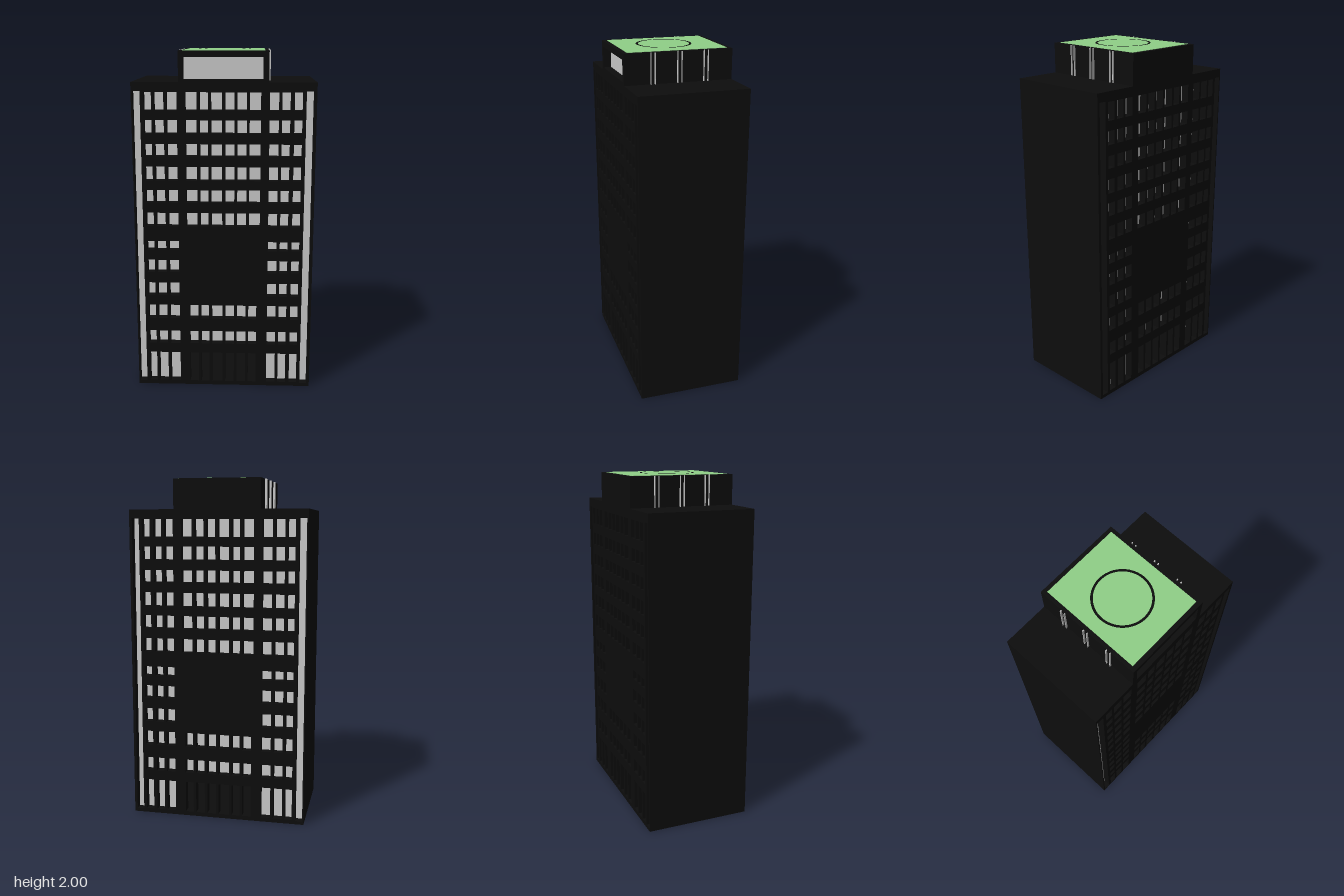
import * as THREE from 'three';

const W = 0.518, D = 0.31, ROOF = 1.825, WALL = 0.05;
const black = new THREE.MeshStandardMaterial({ color: 0x0d0d0d });
const grey = new THREE.MeshStandardMaterial({ color: 0xcccccc });
const green = new THREE.MeshStandardMaterial({ color: 0x90d088 });

// box given by its extents
function box(name, mat, x0, x1, y0, y1, z0, z1) {
  const m = new THREE.Mesh(new THREE.BoxGeometry(x1 - x0, y1 - y0, z1 - z0), mat);
  m.position.set((x0 + x1) / 2, (y0 + y1) / 2, (z0 + z1) / 2);
  m.name = name;
  return m;
}

function rectPath(PathType, [x0, x1, y0, y1]) {
  const p = new PathType();
  p.moveTo(x0, y0);
  p.lineTo(x1, y0);
  p.lineTo(x1, y1);
  p.lineTo(x0, y1);
  p.closePath();
  return p;
}

// rectangular wall pierced by rectangular holes
function piercedWall(name, outline, holes, z) {
  const shape = rectPath(THREE.Shape, outline);
  shape.holes = holes.map(h => rectPath(THREE.Path, h));
  const m = new THREE.Mesh(new THREE.ExtrudeGeometry(shape, { depth: WALL, bevelEnabled: false }), black);
  m.position.z = z;
  m.name = name;
  return m;
}

// window rows, ground floor first
const rows = [
  [0.025, 0.21], [0.27, 0.35], [0.43, 0.515], [0.575, 0.655], [0.72, 0.795], [0.855, 0.91],
  [1.0, 1.08], [1.14, 1.215], [1.27, 1.35], [1.41, 1.48], [1.54, 1.615], [1.67, 1.77],
];
const sideCols = [
  [-0.448, -0.405], [-0.39, -0.336], [-0.32, -0.262],
  [0.257, 0.31], [0.326, 0.374], [0.395, 0.442],
];
const midCols = [
  [-0.215, -0.151], [-0.135, -0.087], [-0.071, -0.008],
  [0.008, 0.061], [0.077, 0.13], [0.146, 0.209],
];

export function createModel() {
  const g = new THREE.Group();

  // openings of one facade
  const glazed = [[-0.51, -0.468, 0.02, 1.775], [0.46, 0.502, 0.02, 1.775]];
  const doors = [];
  rows.forEach(([y0, y1], i) => {
    sideCols.forEach(([a, b]) => glazed.push([a, b, y0, y1]));
    if (i >= 3 && i <= 5) return; // blank central panel
    midCols.forEach(([a, b]) => {
      const lo = i < 3 ? -0.203 : -0.215, hi = i < 3 ? 0.194 : 0.209;
      (i === 0 ? doors : glazed).push([Math.max(a, lo), Math.min(b, hi), y0, y1]);
    });
  });

  // front and back facades: wall with open entrance, recessed panes
  for (const s of [1, -1]) {
    const facade = new THREE.Group();
    facade.name = s > 0 ? 'frontFacade' : 'backFacade';
    facade.add(piercedWall('wall', [-W, W, 0, ROOF], [...glazed, ...doors], s > 0 ? D - WALL : -D));
    const z = s * (D - WALL + 0.003);
    glazed.forEach(([x0, x1, y0, y1]) =>
      facade.add(box('windowPane', grey, x0, x1, y0, y1, z - 0.002, z + 0.002)));
    g.add(facade);
  }

  // hollow shell between the facades
  const zi = D - WALL, t = 0.008;
  g.add(box('leftWall', black, W - t, W, 0, ROOF, -zi, zi));
  g.add(box('rightWall', black, -W, -W + t, 0, ROOF, -zi, zi));
  g.add(box('floor', black, -W + t, W - t, 0, 0.02, -zi, zi));
  g.add(box('roof', black, -W + t, W - t, ROOF - 0.02, ROOF, -zi, zi));

  // penthouse with a recessed front window
  const P = 0.252, TOP = 1.996;
  g.add(box('penthouse', black, -P, P, ROOF, TOP, -D, zi));
  g.add(piercedWall('penthouseFrame', [-P, P, ROOF, TOP], [[-0.225, 0.22, 1.84, 1.96]], zi));
  g.add(box('penthouseWindow', grey, -0.225, 0.22, 1.84, 1.96, zi, zi + 0.004));

  // paired thin fins on the penthouse sides
  for (const s of [1, -1])
    for (const c of [-0.155, -0.003, 0.149])
      for (const o of [-0.012, 0.012]) {
        const x = s * 0.257;
        g.add(box('sideFin', grey, x - 0.005, x + 0.005, ROOF, TOP, c + o - 0.002, c + o + 0.002));
      }

  // landing deck with a painted ring
  g.add(box('landingDeck', green, -0.23, 0.23, TOP, 1.998, -0.287, 0.285));
  const ring = new THREE.Mesh(new THREE.RingGeometry(0.146, 0.159, 48), black);
  ring.rotation.x = -Math.PI / 2;
  ring.position.set(-0.003, 2, 0.008);
  ring.name = 'landingRing';
  g.add(ring);

  return g;
}
